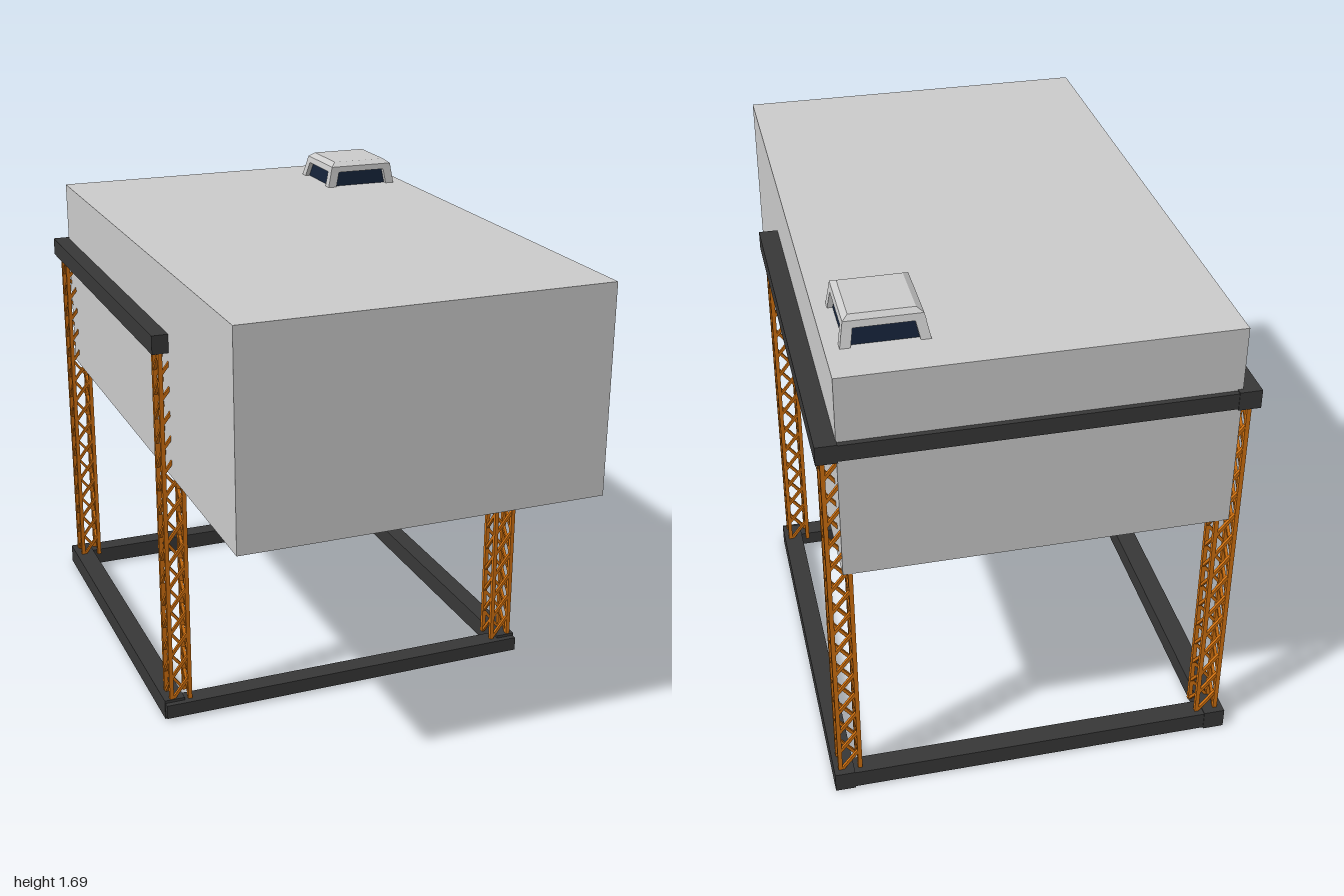
import * as THREE from 'three';
import { mergeGeometries } from 'three/addons/utils/BufferGeometryUtils.js';

const grey = new THREE.MeshStandardMaterial({ color: 0xcccccc, flatShading: true });
const dark = new THREE.MeshStandardMaterial({ color: 0x383838 });
const orange = new THREE.MeshStandardMaterial({ color: 0xd0700f });
const glass = new THREE.MeshStandardMaterial({ color: 0x142238 });

// Box given by its extents on each axis
function box(name, mat, x0, x1, y0, y1, z0, z1) {
  const m = new THREE.Mesh(new THREE.BoxGeometry(x1 - x0, y1 - y0, z1 - z0), mat);
  m.position.set((x0 + x1) / 2, (y0 + y1) / 2, (z0 + z1) / 2);
  m.name = name;
  return m;
}

// Square bar between two points
function bar(a, b, t) {
  const d = b.clone().sub(a);
  const g = new THREE.BoxGeometry(t, d.length(), t);
  const q = new THREE.Quaternion().setFromUnitVectors(new THREE.Vector3(0, 1, 0), d.normalize());
  return g.applyQuaternion(q).translate((a.x + b.x) / 2, (a.y + b.y) / 2, (a.z + b.z) / 2);
}

// Square lattice mast: four chords and one diagonal per face and bay
function mast(name, cx, cz) {
  const y0 = 0.06, y1 = 1.335, r = 0.033, bays = 15;
  const corners = [[r, r], [r, -r], [-r, -r], [-r, r]];
  const step = (y1 - y0) / bays;
  const at = (i, y) => new THREE.Vector3(corners[i % 4][0], y, corners[i % 4][1]);
  const parts = [];
  for (let i = 0; i < 4; i++) {
    parts.push(bar(at(i, y0), at(i, y1), 0.014));
    for (let k = 0; k < bays; k++) {
      parts.push(bar(at(i, y0 + k * step), at(i + 1, y0 + (k + 1) * step), 0.01));
    }
  }
  const m = new THREE.Mesh(mergeGeometries(parts), orange);
  m.position.set(cx, 0, cz);
  m.name = name;
  return m;
}

// Stack of rectangles [y, x0, x1, z0, z1] joined into a closed solid
function loft(name, mat, rings) {
  const p = [], idx = [];
  for (const [y, x0, x1, z0, z1] of rings) p.push(x0, y, z1, x1, y, z1, x1, y, z0, x0, y, z0);
  for (let k = 0; k < rings.length - 1; k++) {
    for (let i = 0; i < 4; i++) {
      const a = k * 4 + i, b = k * 4 + (i + 1) % 4;
      idx.push(a, b, b + 4, a, b + 4, a + 4);
    }
  }
  const t = (rings.length - 1) * 4;
  idx.push(t, t + 1, t + 2, t, t + 2, t + 3, 0, 2, 1, 0, 3, 2);
  let g = new THREE.BufferGeometry();
  g.setAttribute('position', new THREE.Float32BufferAttribute(p, 3));
  g.setIndex(idx);
  g = g.toNonIndexed();
  g.computeVertexNormals();
  const m = new THREE.Mesh(g, mat);
  m.name = name;
  return m;
}

function cabin() {
  const g = new THREE.Group();
  g.name = 'cabin';
  // Glazed core, slightly inside the pillars
  g.add(loft('windows', glass, [
    [1.59, 0.31, 0.55, -0.815, -0.572], [1.66, 0.324, 0.537, -0.8, -0.578],
  ]));
  // Leaning corner pillars
  const w = 0.032;
  for (const right of [0, 1]) for (const front of [0, 1]) {
    const ring = (y, xa, xb, za, zb) => [y,
      right ? xb - w : xa, right ? xb : xa + w, front ? zb - w : za, front ? zb : za + w];
    g.add(loft('pillar', grey, [
      ring(1.59, 0.293, 0.567, -0.833, -0.555), ring(1.665, 0.309, 0.553, -0.808, -0.56),
    ]));
  }
  // Chamfered roof
  g.add(loft('roof', grey, [
    [1.655, 0.306, 0.555, -0.812, -0.559], [1.676, 0.311, 0.551, -0.806, -0.56],
    [1.69, 0.332, 0.533, -0.79, -0.585],
  ]));
  return g;
}

export function createModel() {
  const model = new THREE.Group();
  model.add(box('container', grey, -0.625, 0.61, 0.895, 1.6, -0.98, 1));

  // Ground frame: closed rectangle; upper frame: open towards the front
  const base = new THREE.Group(), top = new THREE.Group();
  base.name = 'baseFrame';
  top.name = 'upperFrame';
  for (const [g, y0, y1] of [[base, 0, 0.07], [top, 1.325, 1.388]]) {
    g.add(box('leftBeam', dark, 0.608, 0.675, y0, y1, -1, 0.36));
    g.add(box('rightBeam', dark, -0.68, -0.608, y0, y1, -1, 0.36));
    g.add(box('backBeam', dark, -0.608, 0.608, y0 + 0.004, y1 - 0.004, -0.998, -0.93));
  }
  base.add(box('frontBeam', dark, -0.678, 0.673, 0.01, 0.06, 0.31, 0.38));
  model.add(base, top);

  // Four lattice masts
  for (const [side, x] of [['left', 0.62], ['right', -0.62]]) {
    model.add(mast(side + 'FrontMast', x, 0.317));
    model.add(mast(side + 'BackMast', x, -0.938));
  }
  model.add(cabin());
  return model;
}
